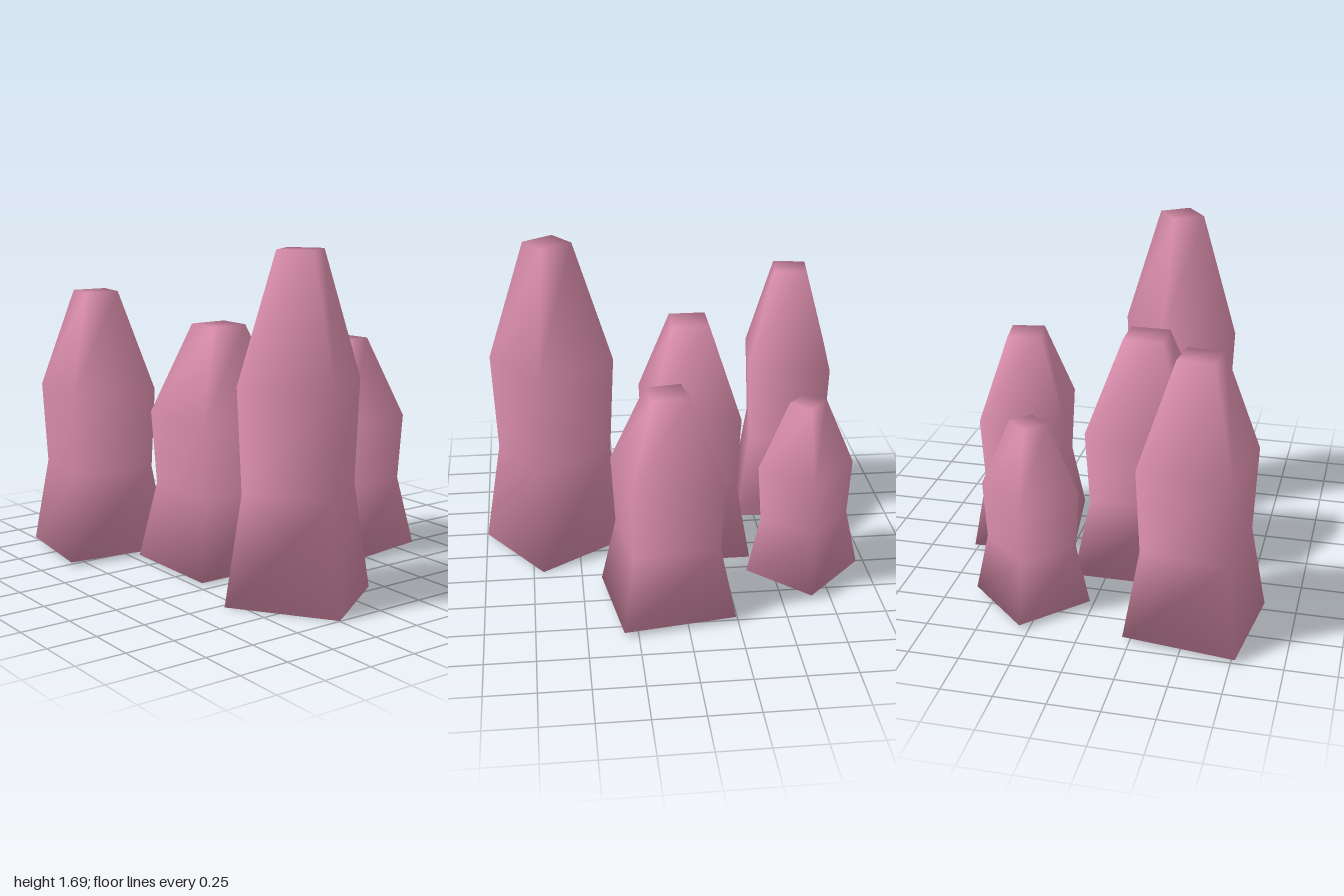
import * as THREE from 'three';

// Height fraction and width scale of each square ring, base to tip
const RINGS = [[0, 1], [0.322, 0.77], [0.628, 0.832], [1, 0.32]];

// Unit spire: square rings joined into one smooth-shaded closed skin
function spireGeometry(width, height, depth) {
  const corners = [[-1, 1], [1, 1], [1, -1], [-1, -1]];
  const positions = [];
  const index = [];
  for (const [y, s] of RINGS) {
    for (const [cx, cz] of corners) {
      positions.push(cx * s * width / 2, y * height, cz * s * depth / 2);
    }
  }
  for (let r = 0; r < RINGS.length - 1; r++) {
    for (let i = 0; i < 4; i++) {
      const a = r * 4 + i;
      const b = r * 4 + (i + 1) % 4;
      index.push(a, b, b + 4, a, b + 4, a + 4);
    }
  }
  // Base and tip caps share the ring vertices
  const t = (RINGS.length - 1) * 4;
  index.push(0, 2, 1, 0, 3, 2, t, t + 1, t + 2, t, t + 2, t + 3);

  const geometry = new THREE.BufferGeometry();
  geometry.setAttribute('position', new THREE.Float32BufferAttribute(positions, 3));
  geometry.setIndex(index);
  geometry.computeVertexNormals();
  return geometry;
}

export function createModel() {
  const model = new THREE.Group();
  model.name = 'spireCluster';
  const pink = new THREE.MeshStandardMaterial({ color: 0xdb8eac });
  pink.name = 'pink';

  // name, base centre x/y/z, width, height, depth, turn about y
  const spires = [
    ['frontSpire', -0.187, 0, 0.613, 0.57, 1.69, 0.53, -0.973],
    ['middleSpire', -0.15, 0.01, -0.105, 0.63, 1.25, 0.59, 0],
    ['backRightSpire', -0.527, 0.02, -0.7, 0.56, 1.385, 0.535, -0.13],
    ['backLeftSpire', 0.31, 0.025, -0.655, 0.435, 0.948, 0.405, -0.765],
    ['leftSpire', 0.535, 0.023, 0.08, 0.536, 1.13, 0.566, 0.148],
  ];
  for (const [name, x, y, z, w, h, d, turn] of spires) {
    const spire = new THREE.Mesh(spireGeometry(w, h, d), pink);
    spire.name = name;
    spire.position.set(x, y, z);
    spire.rotation.y = turn;
    model.add(spire);
  }
  return model;
}
